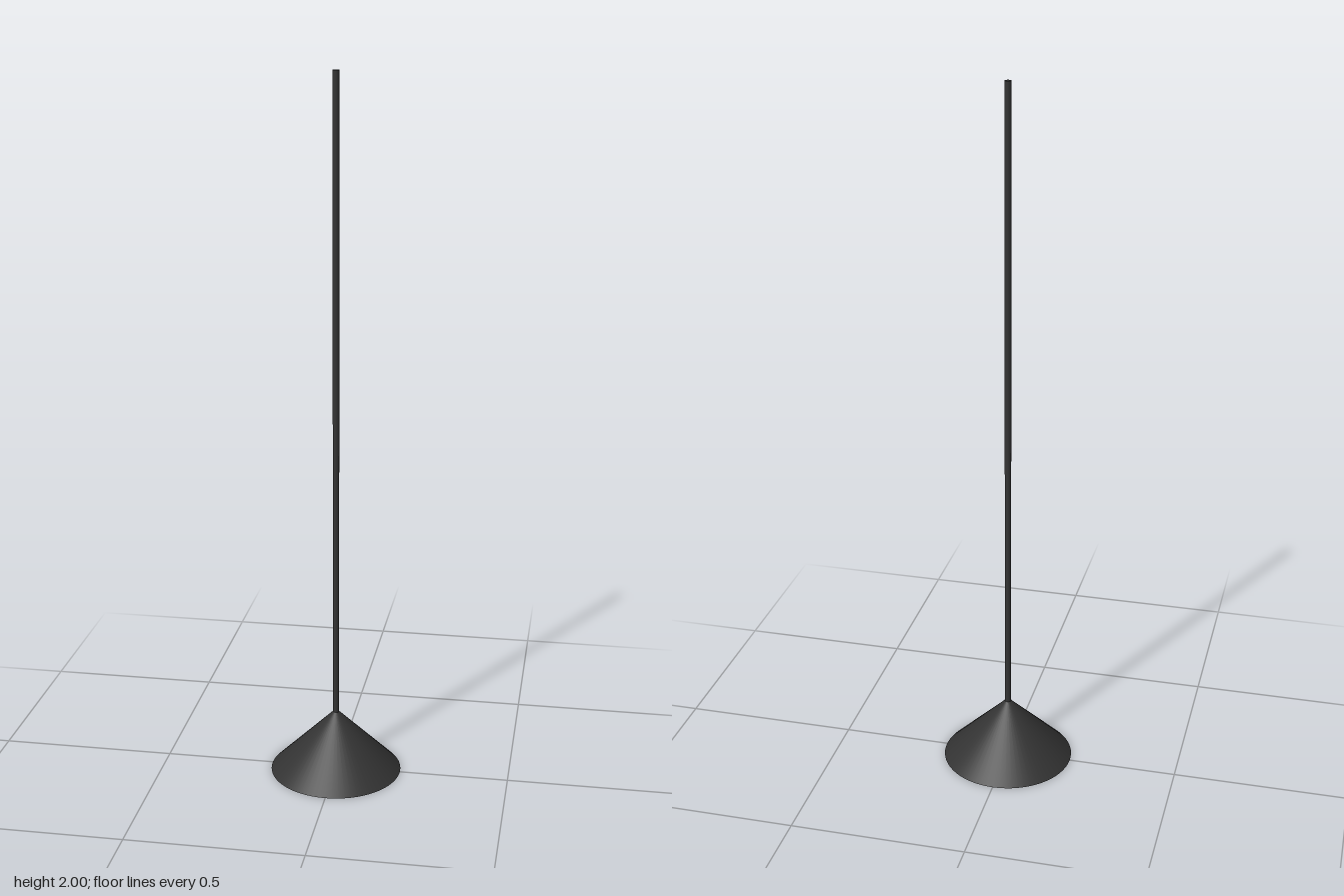
import * as THREE from 'three';

const material = (name, color, side = THREE.FrontSide) => {
  const m = new THREE.MeshStandardMaterial({ color, side });
  m.name = name;
  return m;
};

export function createModel() {
  const group = new THREE.Group();
  group.name = 'pendantLamp';
  const black = material('matte black', 0x333333);
  const white = material('white lining', 0xf2f2f2, THREE.DoubleSide);
  const glass = material('bulb white', 0xffffff);

  const add = (name, geometry, mat, y = 0) => {
    const mesh = new THREE.Mesh(geometry, mat);
    mesh.name = name;
    mesh.position.y = y;
    group.add(mesh);
  };
  const lathe = (points) =>
    new THREE.LatheGeometry(points.map(([r, y]) => new THREE.Vector2(r, y)), 64);

  const R = 0.188; // shade radius and height
  const rodR = 0.009;
  const wall = 0.009; // width of the rim

  // Hanging rod
  const rodBottom = 0.16;
  add('rod', new THREE.CylinderGeometry(rodR, rodR, 2 - rodBottom, 24), black, (2 + rodBottom) / 2);

  // Conical shade: outer skin, rim and lining
  add('shadeOuter', lathe([[R, 0], [0.001, R - 0.001]]), black);
  add('shadeRim', lathe([[R - wall, 0], [R, 0]]), black);
  add('shadeLining', lathe([[0.001, R - wall - 0.001], [R - wall, 0]]), white);

  // Bulb and its socket
  add('bulb', new THREE.SphereGeometry(0.038, 32, 20), glass, 0.1);
  add('socket', new THREE.CylinderGeometry(0.014, 0.02, 0.03, 24), white, 0.145);

  return group;
}
